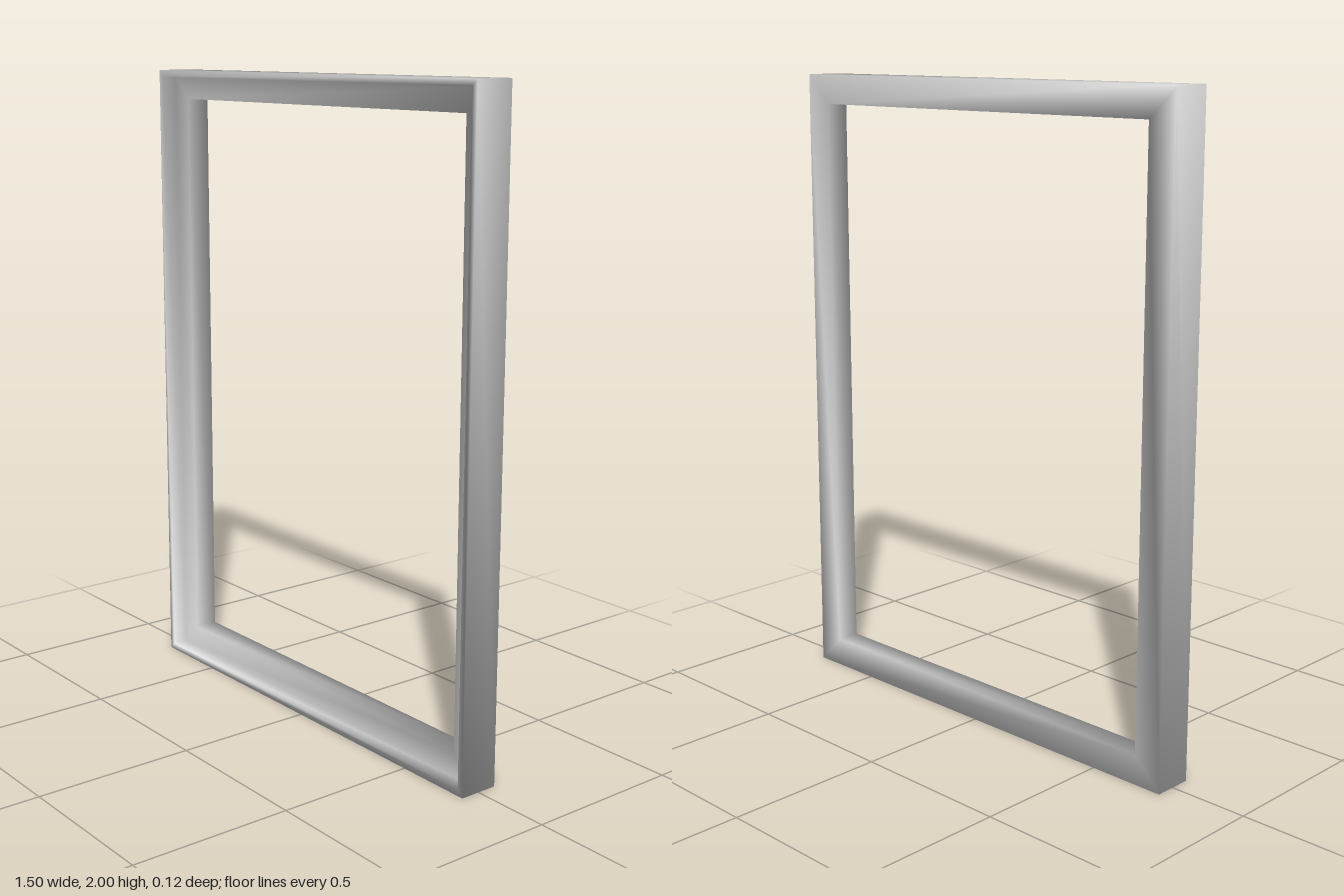
import * as THREE from 'three';

// Sweeps a closed profile of [inset, z] points around a mitred rectangle.
function mitredFrame(width, height, profile) {
  const corners = [[-1, -1], [1, -1], [1, 1], [-1, 1]];
  const n = profile.length;
  const positions = [];
  const indices = [];
  corners.forEach(([sx, sy], i) => {
    for (const [inset, z] of profile) {
      positions.push(sx * (width / 2 - inset), height / 2 + sy * (height / 2 - inset), z);
    }
    const next = (i + 1) % 4;
    for (let j = 0; j < n; j++) {
      const k = (j + 1) % n;
      const a = i * n + j, b = next * n + j, c = next * n + k, d = i * n + k;
      indices.push(a, b, c, a, c, d);
    }
  });
  const geometry = new THREE.BufferGeometry();
  geometry.setAttribute('position', new THREE.Float32BufferAttribute(positions, 3));
  geometry.setIndex(indices);
  geometry.computeVertexNormals(); // shared corners give soft shading
  return geometry;
}

export function createModel() {
  const group = new THREE.Group();
  group.name = 'rectangularFrame';

  const halfDepth = 0.0625;
  const rim = 0.02;      // thin raised outer lip
  const border = 0.092;  // full width of the frame members
  const ledgeZ = 0.0125; // recessed front ledge

  const profile = [
    [0, -halfDepth],
    [0, halfDepth],
    [rim, halfDepth],
    [rim, ledgeZ],
    [border, ledgeZ],
    [border, -halfDepth],
  ];

  // Frame with raised rim and recessed ledge
  const frame = new THREE.Mesh(
    mitredFrame(1.5, 2, profile),
    new THREE.MeshStandardMaterial({ color: 0xcccccc })
  );
  frame.name = 'frame';
  group.add(frame);
  return group;
}
